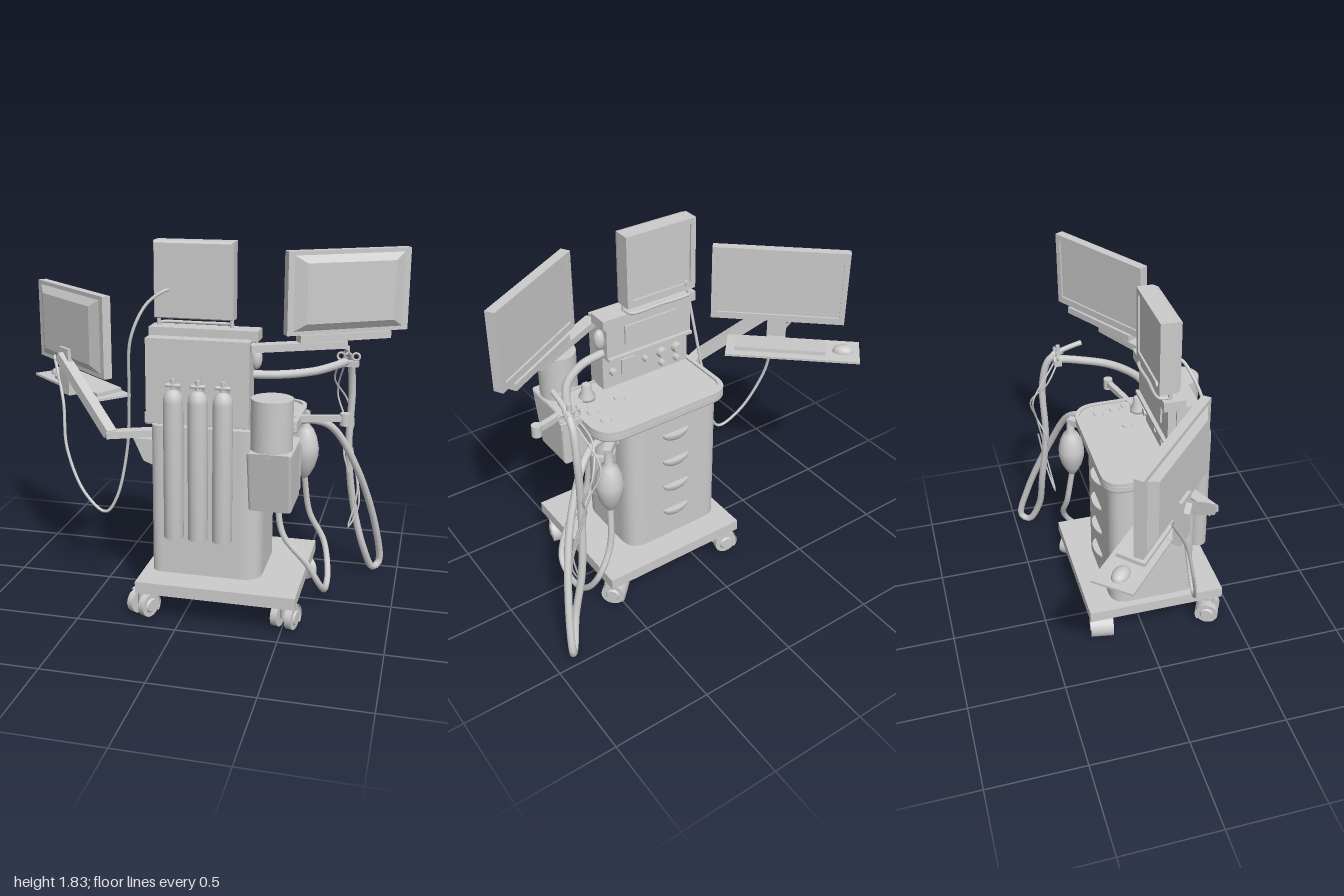
import * as THREE from 'three';
import { RoundedBoxGeometry } from 'three/addons/geometries/RoundedBoxGeometry.js';

const grey = new THREE.MeshStandardMaterial({ color: 0xcccccc, side: THREE.DoubleSide });
const V = (p) => new THREE.Vector3(...p);
const polygon = (pts) => new THREE.Shape(pts.map((p) => new THREE.Vector2(...p)));

function add(parent, name, geo, x = 0, y = 0, z = 0) {
  const m = new THREE.Mesh(geo, grey);
  m.name = name;
  m.position.set(x, y, z);
  parent.add(m);
  return m;
}
// Box given by its min and max corners
function box(parent, name, a, b, r = 0) {
  const s = b.map((v, i) => v - a[i]);
  const geo = r ? new RoundedBoxGeometry(...s, 2, r) : new THREE.BoxGeometry(...s);
  return add(parent, name, geo, ...b.map((v, i) => (v + a[i]) / 2));
}
const cyl = (parent, name, r0, r1, h, x, y, z) =>
  add(parent, name, new THREE.CylinderGeometry(r0, r1, h, 24), x, y, z);
const lathe = (parent, name, pts, x, y, z, n = 24) =>
  add(parent, name, new THREE.LatheGeometry(pts.map((p) => new THREE.Vector2(...p)), n), x, y, z);
function tube(parent, name, pts, r, n = 64) {
  return add(parent, name, new THREE.TubeGeometry(new THREE.CatmullRomCurve3(pts.map(V)), n, r, 10));
}
// Straight rectangular arm between two points
function bar(parent, name, a, b, w, h) {
  const A = V(a), B = V(b);
  const m = add(parent, name, new THREE.BoxGeometry(w, h, A.distanceTo(B)));
  m.position.copy(A).lerp(B, 0.5);
  m.lookAt(B);
  return m;
}
// Rectangle outline with one radius per corner: (x0,z0) (x1,z0) (x1,z1) (x0,z1)
function outline(x0, z0, x1, z1, r) {
  const s = new THREE.Shape();
  s.moveTo(x0 + r[0], z0).lineTo(x1 - r[1], z0).quadraticCurveTo(x1, z0, x1, z0 + r[1]);
  s.lineTo(x1, z1 - r[2]).quadraticCurveTo(x1, z1, x1 - r[2], z1);
  s.lineTo(x0 + r[3], z1).quadraticCurveTo(x0, z1, x0, z1 - r[3]);
  s.lineTo(x0, z0 + r[0]).quadraticCurveTo(x0, z0, x0 + r[0], z0);
  return s;
}
// Horizontal slab from y0 to y1 with an xz outline
function slab(parent, name, shape, y0, y1, bevel = 0) {
  const geo = new THREE.ExtrudeGeometry(shape, {
    depth: y1 - y0 - 2 * bevel, curveSegments: 12, bevelEnabled: bevel > 0,
    bevelSize: bevel, bevelThickness: bevel, bevelOffset: -bevel, bevelSegments: 2,
  });
  return add(parent, name, geo.rotateX(Math.PI / 2), 0, y1 - bevel, 0);
}
// Screen facing local -z with a raised bezel and a tapered back shell
function monitor(parent, name, w, h, t, pos, rotY, back, cover, shrink) {
  const g = new THREE.Group();
  g.name = name;
  g.position.set(...pos);
  g.rotation.y = rotY;
  add(g, 'panel', new THREE.BoxGeometry(w, h, t));
  const frame = outline(-w / 2, -h / 2, w / 2, h / 2, [0, 0, 0, 0]);
  const e = 0.028;
  frame.holes.push(new THREE.Path(outline(-w / 2 + e, -h / 2 + e * 1.3, w / 2 - e, h / 2 - e, [0, 0, 0, 0]).getPoints()));
  add(g, 'bezel', new THREE.ExtrudeGeometry(frame, { depth: 0.01, bevelEnabled: false }), 0, 0, -t / 2 - 0.01);
  const shell = new THREE.BoxGeometry(w * cover, h * cover, back);
  const p = shell.attributes.position;
  for (let i = 0; i < p.count; i++) if (p.getZ(i) > 0) p.setXY(i, p.getX(i) * shrink, p.getY(i) * shrink);
  shell.computeVertexNormals();
  add(g, 'backShell', shell, 0, 0, t / 2 + back / 2);
  parent.add(g);
  return g;
}

export function createModel() {
  const root = new THREE.Group();
  root.name = 'medicalCart';

  // Base and casters
  box(root, 'base', [-0.22, 0.14, -0.295], [0.57, 0.2, 0.435]);
  slab(root, 'basePlate', outline(-0.1, -0.22, 0.45, 0.33, [0.08, 0.08, 0.08, 0.08]), 0.132, 0.142);
  for (const [x, z, a] of [[-0.2, 0.365, -0.45], [0.51, 0.335, -0.25], [-0.17, -0.225, 1.4], [0.51, -0.22, 0.8]]) {
    const c = new THREE.Group();
    c.name = 'caster';
    c.position.set(x, 0, z);
    c.rotation.y = a;
    for (const s of [-1, 1]) {
      add(c, 'wheel', new THREE.CylinderGeometry(0.06, 0.06, 0.034, 20).rotateZ(Math.PI / 2), s * 0.037, 0.06, 0);
      add(c, 'hub', new THREE.CylinderGeometry(0.03, 0.038, 0.01, 16).rotateZ(-s * Math.PI / 2), s * 0.058, 0.06, 0);
    }
    add(c, 'hood', new THREE.CylinderGeometry(0.065, 0.065, 0.12, 16, 1, true, -0.3, 2.6).rotateZ(Math.PI / 2).rotateX(-Math.PI / 2), 0, 0.062, 0);
    cyl(c, 'stem', 0.025, 0.025, 0.1, 0, 0.1, 0);
    root.add(c);
  }

  // Cabinet with cup-shaped drawer pulls
  slab(root, 'cabinet', outline(-0.18, -0.165, 0.37, 0.285, [0.09, 0.1, 0.1, 0.06]), 0.2, 0.96);
  box(root, 'sideBlock', [0.3, 0.84, -0.08], [0.48, 0.95, 0.235]);
  for (const y of [0.37, 0.53, 0.69, 0.85]) {
    const cup = new THREE.SphereGeometry(1, 24, 8, 0, Math.PI * 2, Math.PI / 2, Math.PI / 2).scale(0.075, 0.045, 0.032);
    add(root, 'drawerPull', cup, 0.095, y, -0.165);
    const lid = new THREE.CylinderGeometry(1, 1, 0.004, 24).scale(0.075, 1, 0.032);
    add(root, 'pullLid', lid, 0.095, y, -0.165);
  }

  // Worktop
  slab(root, 'worktop', outline(-0.217, -0.2, 0.53, 0.245, [0.11, 0.14, 0.03, 0.01]), 0.95, 1.0, 0.012);
  const rim = outline(-0.217, -0.2, 0.53, 0.245, [0.11, 0.14, 0.03, 0.01]);
  rim.holes.push(new THREE.Path(outline(-0.195, -0.178, 0.51, 0.235, [0.1, 0.12, 0.03, 0.01]).getPoints(10)));
  slab(root, 'worktopRim', rim, 0.99, 1.01);
  lathe(root, 'valveCone', [[0, 0], [0.042, 0], [0.042, 0.02], [0.028, 0.045], [0.024, 0.085], [0.018, 0.09], [0, 0.09]], 0.41, 0.995, 0.14);
  for (const [x, z] of [[0.45, 0.02], [0.43, -0.07], [0.28, 0.05], [0.47, 0.09]]) cyl(root, 'port', 0.026, 0.03, 0.012, x, 1.002, z);

  // Control column
  box(root, 'column', [-0.2, 0.97, 0.155], [0.305, 1.385, 0.272]);
  box(root, 'columnCap', [-0.203, 1.375, 0.09], [0.33, 1.425, 0.2]);
  box(root, 'upperPanel', [-0.19, 1.2, 0.115], [0.3, 1.39, 0.16]);
  box(root, 'panelWindow', [-0.1, 1.25, 0.105], [0.2, 1.35, 0.12]);
  box(root, 'panelLedge', [-0.19, 1.185, 0.095], [0.3, 1.2, 0.16]);
  for (const [x, y, r] of [[-0.13, 1.1, 0.025], [-0.04, 1.1, 0.025], [-0.13, 1.04, 0.016], [-0.04, 1.04, 0.016], [0.06, 1.1, 0.014], [0.25, 1.09, 0.018]])
    add(root, 'knob', new THREE.CylinderGeometry(r, r * 1.15, 0.035, 16).rotateX(-Math.PI / 2), x, y, 0.14);
  box(root, 'gaugePlate', [0.12, 1.06, 0.145], [0.2, 1.14, 0.16]);

  // Top display on two posts
  monitor(root, 'topDisplay', 0.39, 0.37, 0.07, [0.007, 1.645, 0.117], 0, 0.025, 1, 0.95);
  add(root, 'displayDial', new THREE.CylinderGeometry(0.014, 0.014, 0.02, 16).rotateX(Math.PI / 2), -0.14, 1.495, 0.075);
  for (const x of [-0.17, 0.19]) cyl(root, 'displayPost', 0.01, 0.01, 0.07, x, 1.44, 0.13);
  tube(root, 'displayHandle', [[-0.17, 1.43, 0.12], [-0.16, 1.43, 0.08], [0.01, 1.43, 0.075], [0.18, 1.43, 0.08], [0.19, 1.43, 0.12]], 0.008, 32);

  // Monitor on the left side, with swing arm
  monitor(root, 'sideMonitor', 0.615, 0.39, 0.038, [0.722, 1.605, 0.03], 0.53, 0.025, 0.9, 0.8);
  add(root, 'armKnuckle', new THREE.SphereGeometry(1, 20, 12).scale(0.03, 0.055, 0.03), 0.315, 1.29, 0.16);
  bar(root, 'monitorArm', [0.3, 1.355, 0.245], [0.72, 1.355, 0.035], 0.065, 0.035);
  bar(root, 'monitorMount', [0.51, 1.39, 0.14], [0.91, 1.39, -0.09], 0.06, 0.035);

  // Workstation on the right side: monitor, tray, keyboard, arm
  const station = monitor(root, 'workstation', 0.69, 0.405, 0.035, [-0.665, 1.362, -0.004], -0.73, 0.025, 0.9, 0.8);
  const tray = new THREE.Group();
  tray.name = 'keyboardTray';
  tray.position.set(-0.09, -0.335, -0.085);
  box(tray, 'tray', [-0.345, 0, -0.1], [0.345, 0.012, 0.1]);
  const keys = box(tray, 'keyboard', [-0.17, 0.015, -0.07], [0.3, 0.035, 0.07]);
  keys.rotation.x = 0.08;
  add(tray, 'mouse', new THREE.SphereGeometry(1, 18, 8, 0, Math.PI * 2, 0, Math.PI / 2).scale(0.055, 0.035, 0.038), -0.26, 0.012, 0);
  station.add(tray);
  box(station, 'trayBracket', [-0.05, -0.34, 0.02], [0.05, -0.1, 0.06]);
  box(station, 'trayBeam', [-0.05, -0.34, -0.12], [0.05, -0.32, 0.06]);
  bar(root, 'liftArm', [-0.38, 0.9, 0.28], [-0.72, 1.22, 0.03], 0.055, 0.05);
  bar(root, 'lowerArm', [-0.17, 0.9, 0.19], [-0.4, 0.9, 0.29], 0.06, 0.035);
  const wedge = polygon([[-0.17, 0.75], [-0.17, 0.88], [-0.27, 0.88], [-0.22, 0.77]]);
  add(root, 'armBracket', new THREE.ExtrudeGeometry(wedge, { depth: 0.09, bevelEnabled: false }), 0, 0, 0.17);

  // Three gas cylinders with valves
  for (const x of [-0.045, 0.075, 0.195]) {
    lathe(root, 'gasCylinder', [[0, 0], [0.048, 0], [0.048, 0.68], [0.044, 0.71], [0.03, 0.73], [0.015, 0.74], [0, 0.74]], x, 0.42, 0.34);
    cyl(root, 'valveStem', 0.012, 0.012, 0.06, x, 1.18, 0.34);
    add(root, 'valveHandle', new RoundedBoxGeometry(0.075, 0.018, 0.025, 2, 0.008), x, 1.18, 0.34);
    box(root, 'yoke', [x - 0.018, 1.13, 0.26], [x + 0.018, 1.17, 0.345]);
  }

  // Suction jar in its tapered holder (side profile in z and y)
  cyl(root, 'jar', 0.098, 0.098, 0.26, 0.435, 1.03, 0.382);
  const profile = polygon([[0.175, 0.62], [0.415, 0.62], [0.483, 0.92], [0.175, 0.92]]);
  const holder = new THREE.ExtrudeGeometry(profile, {
    depth: 0.175, bevelSize: 0.015, bevelThickness: 0.015, bevelOffset: -0.015, bevelSegments: 3,
  });
  add(root, 'jarHolder', holder.rotateY(-Math.PI / 2), 0.525, 0, 0);

  // Absorber canister and breathing bag
  cyl(root, 'canister', 0.065, 0.062, 0.245, 0.45, 0.697, -0.055);
  cyl(root, 'canisterNeck', 0.04, 0.04, 0.14, 0.45, 0.88, -0.055);
  bar(root, 'bagMount', [0.4, 0.93, -0.1], [0.52, 0.93, -0.215], 0.04, 0.035);
  lathe(root, 'breathingBag', [[0.015, 0], [0.03, 0.02], [0.054, 0.065], [0.07, 0.125], [0.071, 0.165], [0.06, 0.22], [0.04, 0.265], [0.022, 0.285], [0.018, 0.35]], 0.51, 0.585, -0.21, 16);

  // Hoses
  tube(root, 'bagHose', [[0.43, 0.86, 0.08], [0.43, 0.58, 0.13], [0.46, 0.4, 0.14], [0.58, 0.25, 0.13], [0.65, 0.11, 0.08], [0.66, 0.055, -0.03],
    [0.655, 0.09, -0.16], [0.62, 0.22, -0.25], [0.54, 0.38, -0.24], [0.51, 0.6, -0.21]], 0.016);
  tube(root, 'breathingHose', [[0.47, 0.92, -0.09], [0.56, 0.92, -0.13], [0.65, 0.87, -0.19], [0.78, 0.62, -0.28], [0.88, 0.25, -0.41], [0.9, 0.04, -0.46],
    [0.87, 0.025, -0.42], [0.82, 0.16, -0.36], [0.76, 0.4, -0.34], [0.725, 0.72, -0.31], [0.73, 1.05, -0.31], [0.72, 1.2, -0.27], [0.71, 1.25, -0.2]], 0.019, 90);

  // Hose support arm with clip and patient connector
  const arm = tube(root, 'hoseArm', [[0.3, 0, 0.16], [0.43, 0, 0.13], [0.57, 0, 0.03], [0.66, 0, -0.12], [0.71, 0, -0.24]], 0.021, 32);
  arm.position.y = 1.21;
  box(root, 'hoseClip', [0.66, 1.185, -0.25], [0.765, 1.215, -0.21]);
  for (const x of [0.675, 0.71, 0.75]) add(root, 'clipHook', new THREE.TorusGeometry(0.018, 0.006, 6, 16), x, 1.235, -0.23);
  tube(root, 'connector', [[0.71, 1.285, -0.09], [0.71, 1.27, -0.15], [0.715, 1.235, -0.25]], 0.014, 12);
  cyl(root, 'connectorCap', 0.011, 0.014, 0.06, 0.705, 1.26, -0.22);
  bar(root, 'sideRail', [0.38, 0.995, 0.15], [0.75, 0.995, 0.055], 0.03, 0.03);
  cyl(root, 'railEnd', 0.025, 0.025, 0.06, 0.735, 0.99, 0.06);

  // Thin lines and cables
  tube(root, 'sampleLine', [[0.72, 1.25, -0.2], [0.68, 1.15, -0.28], [0.65, 1.0, -0.38], [0.7, 0.86, -0.36], [0.74, 0.7, -0.33], [0.78, 0.5, -0.3], [0.74, 0.3, -0.27], [0.79, 0.42, -0.3], [0.74, 0.72, -0.35]], 0.005);
  tube(root, 'sensorLine', [[0.68, 1.22, -0.22], [0.64, 1.1, -0.3], [0.7, 0.97, -0.385], [0.74, 0.85, -0.36], [0.7, 0.72, -0.31], [0.73, 0.6, -0.3]], 0.005);
  tube(root, 'displayCable', [[-0.1, 1.6, 0.15], [-0.12, 1.6, 0.19], [-0.2, 1.54, 0.23], [-0.27, 1.38, 0.27], [-0.3, 1.1, 0.22], [-0.33, 0.8, 0.17], [-0.39, 0.53, 0.18],
    [-0.45, 0.45, 0.18], [-0.57, 0.53, 0.15], [-0.68, 0.75, 0.1], [-0.71, 0.98, 0.05], [-0.79, 1.2, -0.05]], 0.008, 90);
  return root;
}
